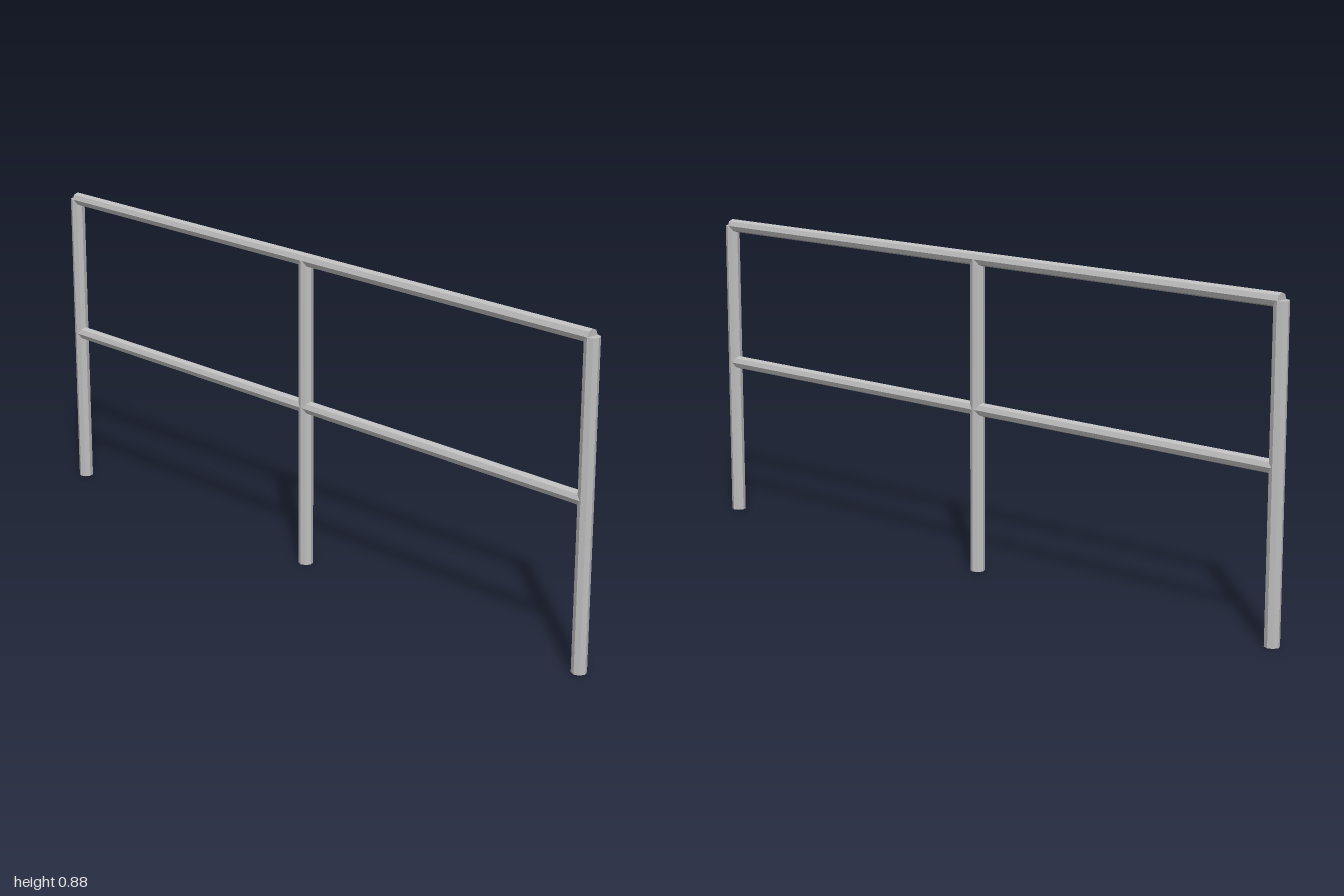
import * as THREE from 'three';

const POST_RADIUS = 0.02;
const POST_HEIGHT = 0.8565;
const SPAN = 1.96; // distance between the outer post centres
const RAIL_RADIUS = 0.0185;

export function createModel() {
  const group = new THREE.Group();
  group.name = 'railing';
  const steel = new THREE.MeshStandardMaterial({ color: 0xc0c0c0, flatShading: true });
  steel.name = 'light grey steel';

  // Eight-sided tube, standing on its axis
  const addTube = (name, radius, length) => {
    const mesh = new THREE.Mesh(new THREE.CylinderGeometry(radius, radius, length, 8), steel);
    mesh.name = name;
    group.add(mesh);
    return mesh;
  };

  // Three upright posts
  const posts = { rightPost: -SPAN / 2, middlePost: 0, leftPost: SPAN / 2 };
  for (const [name, x] of Object.entries(posts)) {
    addTube(name, POST_RADIUS, POST_HEIGHT).position.set(x, POST_HEIGHT / 2, 0);
  }

  // Handrail along the post tops and a rail halfway up
  const rails = { topRail: POST_HEIGHT, middleRail: 0.45 };
  for (const [name, y] of Object.entries(rails)) {
    const rail = addTube(name, RAIL_RADIUS, SPAN);
    rail.rotation.z = Math.PI / 2;
    rail.position.y = y;
  }
  return group;
}
